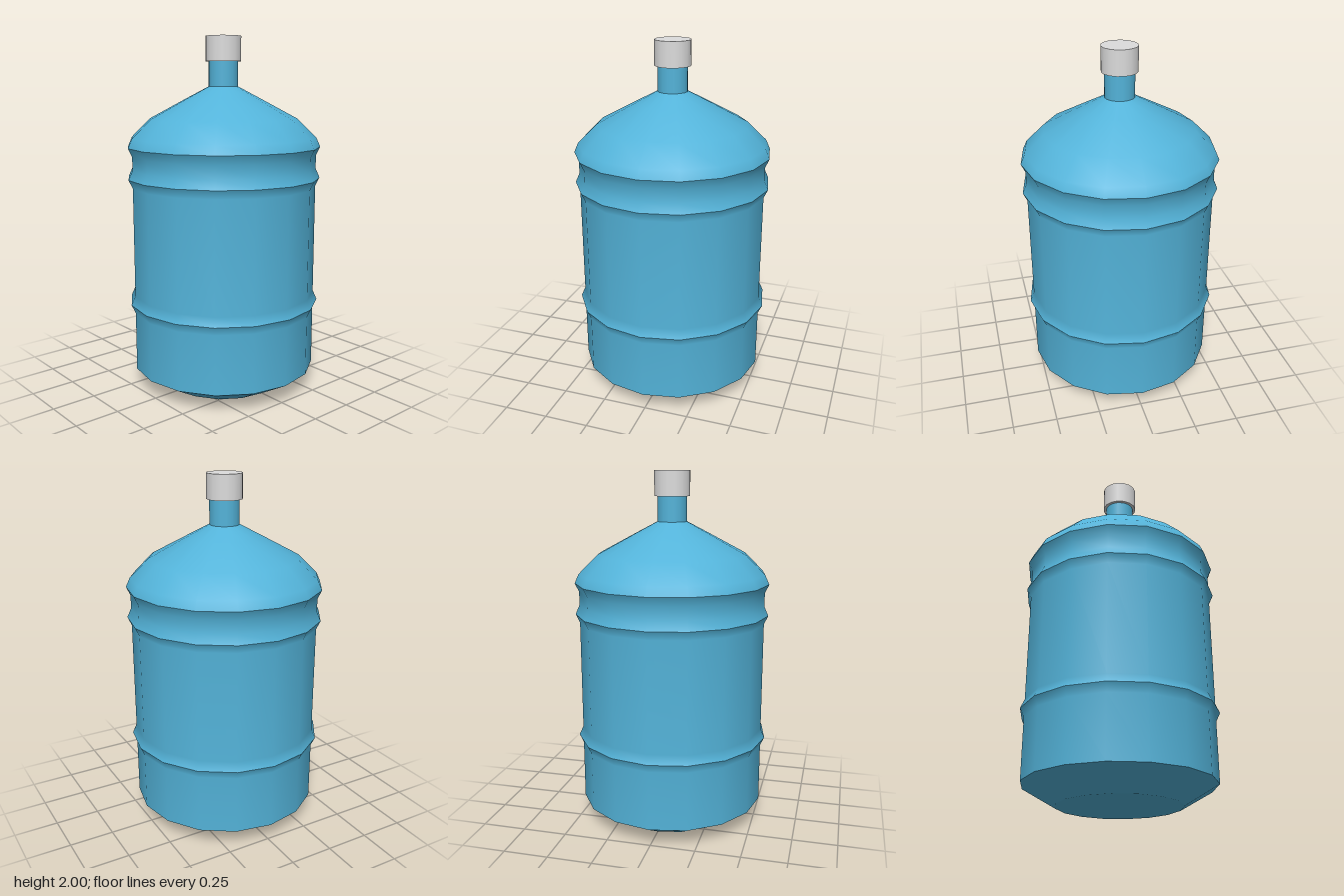
import * as THREE from 'three';

const SIDES = 16;

export function createModel() {
  const bottlePlastic = new THREE.MeshStandardMaterial({ color: 0x53b3d9 });
  bottlePlastic.name = 'bluePlastic';
  const capPlastic = new THREE.MeshStandardMaterial({ color: 0xdcdcdc });
  capPlastic.name = 'lightGreyPlastic';

  const model = new THREE.Group();
  model.name = 'waterBottle';

  // Each section is smooth in itself; the joins between sections stay sharp
  const addSection = (name, profile, material) => {
    const points = profile.map(([r, y]) => new THREE.Vector2(r, y));
    const mesh = new THREE.Mesh(new THREE.LatheGeometry(points, SIDES), material);
    mesh.name = name;
    model.add(mesh);
  };

  const body = 0.527, rib = 0.55, neck = 0.083, cap = 0.1;

  // Base and lower body, up to the peak of the lowest rib
  addSection('baseDisc', [[0, 0], [0.34, 0]], bottlePlastic);
  addSection('baseBevel', [[0.34, 0], [body, 0.108]], bottlePlastic);
  addSection('lowerBody', [[body, 0.108], [body, 0.445], [rib, 0.494]], bottlePlastic);

  // Main body and the groove between the two upper ribs
  addSection('mainBody', [[rib, 0.494], [body, 0.545], [body, 1.165], [rib, 1.214]], bottlePlastic);
  addSection('upperGroove', [[rib, 1.214], [body, 1.265], [body, 1.34], [rib, 1.389]], bottlePlastic);

  // Domed shoulder and neck
  addSection('shoulder', [[rib, 1.389], [body, 1.44], [0.42, 1.545], [0.205, 1.66], [neck, 1.724]], bottlePlastic);
  addSection('neck', [[neck, 1.724], [neck, 1.87]], bottlePlastic);

  // Screw cap
  const lid = new THREE.Mesh(new THREE.CylinderGeometry(cap, cap, 0.138, SIDES), capPlastic);
  lid.name = 'cap';
  lid.position.y = 1.931;
  model.add(lid);

  return model;
}
